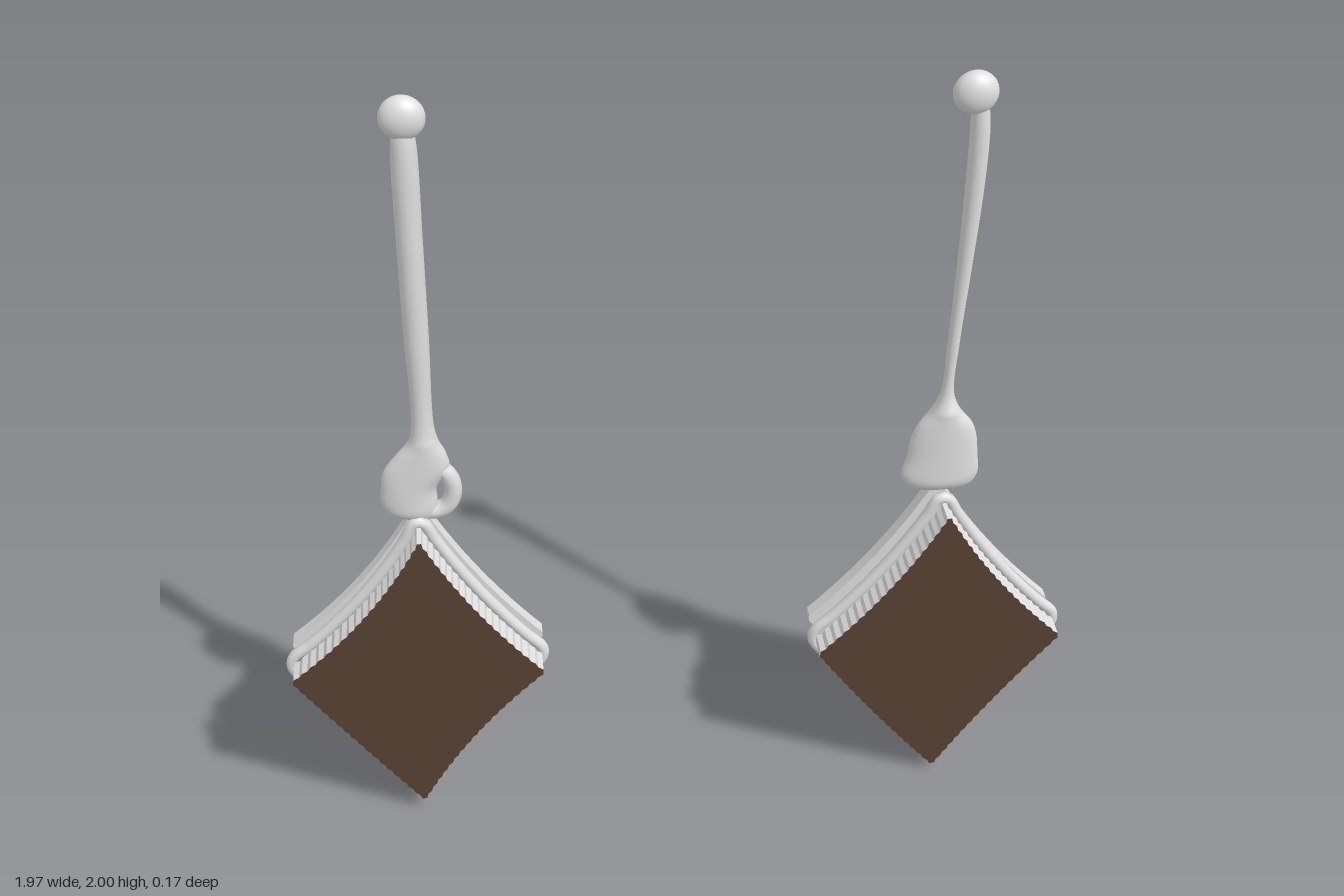
import * as THREE from 'three';

const silver = new THREE.MeshStandardMaterial({ color: 0xe0e0e0 });
silver.name = 'silver';
const brown = new THREE.MeshStandardMaterial({ color: 0x584233 });
brown.name = 'darkBrown';

const HANG_Z = -0.016; // depth of the hanger centre line

function add(parent, name, geometry, material) {
  const mesh = new THREE.Mesh(geometry, material);
  mesh.name = name;
  parent.add(mesh);
  return mesh;
}

// Four-cornered outline whose edges bow inward; scale is about the centre,
// trim shortens each edge at its ends to blunt the corners, teeth roughens it.
function outline({ corners, bows }, { scale = 1, trim, teeth = 0, steps }) {
  const cx = corners.reduce((s, c) => s + c[0], 0) / 4;
  const cy = corners.reduce((s, c) => s + c[1], 0) / 4;
  const points = [];
  corners.forEach(([ax, ay], e) => {
    const [bx, by] = corners[(e + 1) % 4];
    const len = Math.hypot(bx - ax, by - ay);
    // corners run counter-clockwise, so the inward normal is to the left
    const nx = -(by - ay) / len, ny = (bx - ax) / len;
    for (let i = 0; i < steps; i++) {
      const t = trim + (1 - 2 * trim) * i / (steps - 1);
      const d = bows[e] * 4 * t * (1 - t) + teeth * (i % 2);
      const x = ax + (bx - ax) * t + nx * d;
      const y = ay + (by - ay) * t + ny * d;
      points.push(new THREE.Vector2(cx + (x - cx) * scale, cy + (y - cy) * scale));
    }
  });
  return points;
}

// Smooth body through [centre x, y, half width] rows with oval sections,
// rounded off in depth at its lower end
function loft(rows, maxDepth) {
  const curve = new THREE.CatmullRomCurve3(rows.map(r => new THREE.Vector3(...r)), false, 'centripetal');
  const N = 90, S = 28, pos = [], idx = [];
  for (let i = 0; i <= N; i++) {
    const p = curve.getPoint(i / N);
    const rx = Math.max(p.z, 0.0005);
    const rise = THREE.MathUtils.clamp((p.y - rows[0][1]) / 0.045, 0.0005, 1);
    const rz = Math.min(rx, maxDepth * Math.sqrt(rise * (2 - rise)));
    for (let j = 0; j < S; j++) {
      const a = j / S * Math.PI * 2;
      pos.push(p.x + rx * Math.cos(a), p.y, HANG_Z + rz * Math.sin(a));
      if (i < N) {
        const q = i * S + j, r = i * S + (j + 1) % S;
        idx.push(q, q + S, r, r, q + S, r + S);
      }
    }
  }
  const g = new THREE.BufferGeometry();
  g.setAttribute('position', new THREE.Float32BufferAttribute(pos, 3));
  g.setIndex(idx);
  g.computeVertexNormals();
  return g;
}

function pendant(group, diamond) {
  // rounded wire frame
  const path = outline(diamond, { trim: 0.04, steps: 10 }).map(p => new THREE.Vector3(p.x, p.y, 0.011));
  const curve = new THREE.CatmullRomCurve3(path, true, 'centripetal');
  add(group, 'wireFrame', new THREE.TubeGeometry(curve, 160, 0.0145, 12, true), silver);

  // thick front slab with a finely rough edge and a brown face
  const rough = new THREE.Shape(outline(diamond, { scale: 0.972, trim: 0.022, teeth: 0.004, steps: 37 }));
  const slab = new THREE.ExtrudeGeometry(rough, { depth: 0.06, bevelEnabled: false });
  add(group, 'frontSlab', slab.translate(0, 0, 0.026), silver);
  add(group, 'brownFace', new THREE.ShapeGeometry(rough).translate(0, 0, 0.087), brown);

  // smooth back plate
  const smooth = new THREE.Shape(outline(diamond, { scale: 0.985, trim: 0.018, steps: 14 }));
  const plate = new THREE.ExtrudeGeometry(smooth, { depth: 0.033, bevelEnabled: false });
  add(group, 'backPlate', plate.translate(0, 0, -0.087), silver);
}

function earring(name, { ball, hanger, diamond }) {
  const group = new THREE.Group();
  group.name = name;
  const knob = add(group, 'topBall', new THREE.SphereGeometry(0.05, 28, 20), silver);
  knob.position.set(ball[0], ball[1], HANG_Z);
  knob.scale.z = 0.68;
  add(group, 'stemAndBulb', loft(hanger, 0.033), silver);
  pendant(group, diamond);
  return group;
}

export function createModel() {
  const model = new THREE.Group();
  model.name = 'earrings';

  const right = earring('rightEarring', {
    ball: [-0.58, 1.95],
    hanger: [
      [-0.61, 0.893, 0], [-0.617, 0.898, 0.025], [-0.637, 0.915, 0.056], [-0.645, 0.945, 0.066],
      [-0.643, 0.99, 0.066], [-0.622, 1.04, 0.077], [-0.609, 1.08, 0.06], [-0.6, 1.12, 0.035],
      [-0.598, 1.17, 0.026], [-0.593, 1.4, 0.028], [-0.588, 1.65, 0.029], [-0.582, 1.88, 0.028], [-0.58, 1.93, 0.022],
    ],
    diamond: {
      corners: [[-0.627, 0.92], [-0.985, 0.488], [-0.68, 0.022], [-0.337, 0.458]],
      bows: [0.03, -0.002, 0.024, 0.02],
    },
  });
  // small hook closing a loop beside the bulb
  const hook = new THREE.CatmullRomCurve3([
    [-0.6, 1.05], [-0.563, 1.035], [-0.544, 1.005], [-0.541, 0.965], [-0.557, 0.93], [-0.585, 0.916], [-0.625, 0.922],
  ].map(([x, y]) => new THREE.Vector3(x, y, HANG_Z)));
  add(right, 'hook', new THREE.TubeGeometry(hook, 36, 0.021, 14), silver);

  const left = earring('leftEarring', {
    ball: [0.632, 1.94],
    hanger: [
      [0.637, 0.876, 0], [0.637, 0.878, 0.05], [0.636, 0.892, 0.08], [0.635, 0.925, 0.095],
      [0.637, 0.97, 0.088], [0.637, 1.03, 0.08], [0.637, 1.07, 0.066], [0.636, 1.11, 0.036],
      [0.635, 1.16, 0.016], [0.638, 1.3, 0.014], [0.645, 1.5, 0.017], [0.65, 1.7, 0.021], [0.649, 1.85, 0.022], [0.643, 1.92, 0.02],
    ],
    diamond: {
      corners: [[0.643, 0.882], [0.328, 0.447], [0.665, 0.0], [0.975, 0.45]],
      bows: [0.022, -0.008, 0.01, 0.02],
    },
  });

  model.add(right, left);
  return model;
}
